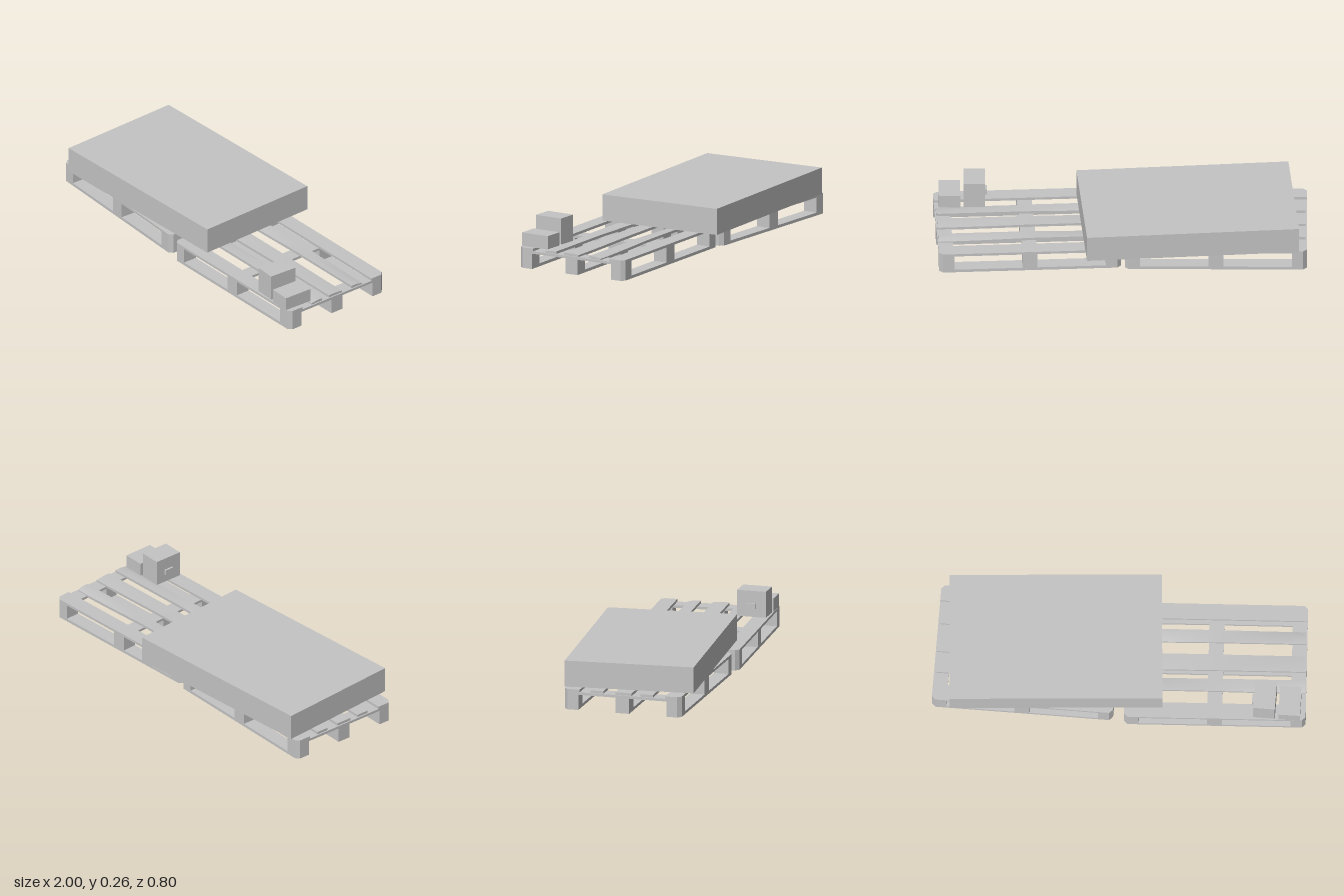
import * as THREE from 'three';

const HALF_L = 0.485, HALF_W = 0.325, CUT = 0.02;

export function createModel() {
  const grey = new THREE.MeshStandardMaterial({ color: 0xc4c4c4 });
  grey.name = 'plain grey';
  const model = new THREE.Group();
  model.name = 'palletsWithLoad';

  const add = (parent, name, geometry, x = 0, y = 0, z = 0) => {
    const mesh = new THREE.Mesh(geometry, grey);
    mesh.name = name;
    mesh.position.set(x, y, z);
    parent.add(mesh);
    return mesh;
  };

  // Upright slab from y0 to y1 whose corners are cut off where they meet a pallet corner
  const slab = (x0, x1, z0, z1, y0, y1) => {
    const points = [];
    const corners = [[x0, z0], [x1, z0], [x1, z1], [x0, z1]];
    corners.forEach(([x, z], i) => {
      const outer = Math.abs(x) > HALF_L - 0.001 && Math.abs(z) > HALF_W - 0.001;
      if (!outer) return points.push(new THREE.Vector2(x, -z));
      const alongX = new THREE.Vector2(x - Math.sign(x) * CUT, -z);
      const alongZ = new THREE.Vector2(x, -(z - Math.sign(z) * CUT));
      points.push(...(i % 2 ? [alongX, alongZ] : [alongZ, alongX]));
    });
    const g = new THREE.ExtrudeGeometry(new THREE.Shape(points), { depth: y1 - y0, bevelEnabled: false });
    return g.rotateX(-Math.PI / 2).translate(0, y0, 0);
  };

  // Thin deck board, twisted a little along its length
  const twistedBoard = (length, width, twist) => {
    const g = new THREE.BoxGeometry(length, 0.014, width, 12, 1, 2);
    const p = g.attributes.position;
    for (let i = 0; i < p.count; i++) {
      const t = p.getX(i) / length;
      const drop = twist * Math.sin(t * Math.PI) * p.getZ(i) / width;
      p.setY(i, p.getY(i) + drop - Math.abs(drop));
    }
    g.computeVertexNormals();
    return g;
  };

  const makePallet = (name, twists) => {
    const pallet = new THREE.Group();
    pallet.name = name;
    const blockX = [[-HALF_L, -0.405], [-0.04, 0.04], [0.405, HALF_L]];
    const rows = [[-HALF_W, -0.245], [-0.038, 0.038], [0.245, HALF_W]];

    // Bottom runners and the nine blocks
    rows.forEach(([z0, z1]) => {
      add(pallet, 'bottomRunner', slab(-HALF_L, HALF_L, z0, z1, 0, 0.016));
      blockX.forEach(([x0, x1]) => add(pallet, 'block', slab(x0, x1, z0, z1, 0.016, 0.084)));
    });

    // Cross boards resting on the blocks
    blockX.forEach(([x0, x1]) =>
      add(pallet, 'crossBoard', slab(x0, x1, -HALF_W, HALF_W, 0.084, 0.098)));

    // Deck: two outer boards with cut corners, three inner boards
    add(pallet, 'outerDeckBoard', slab(-HALF_L, HALF_L, -HALF_W, -0.238, 0.098, 0.112));
    add(pallet, 'outerDeckBoard', slab(-HALF_L, HALF_L, 0.238, HALF_W, 0.098, 0.112));
    [[-0.143, 0.07], [0.005, 0.09], [0.133, 0.07]].forEach(([z, width], i) =>
      add(pallet, 'innerDeckBoard', twistedBoard(0.955, width, twists[i]), 0, 0.105, z));

    model.add(pallet);
    return pallet;
  };

  makePallet('rightPallet', [0, 0, 0]).position.set(-0.515, 0, 0.028);
  const turned = makePallet('leftPallet', [0.008, 0.004, -0.006]);
  turned.position.set(0.494, 0, 0.015);
  turned.rotation.y = 0.06;

  // Large flat load lying askew on the decks
  const load = add(model, 'largeFlatBox', new THREE.BoxGeometry(1.134, 0.143, 0.703), -0.364, 0.1845, -0.003);
  load.rotation.y = 0.085;

  // Two small boxes at the far end
  const tall = new THREE.Group();
  tall.name = 'tallBox';
  tall.position.set(0.775, 0.113, 0.234);
  add(tall, 'tallBoxBody', new THREE.BoxGeometry(0.116, 0.143, 0.16), 0, 0.0715, 0);
  add(tall, 'sideCatch', new THREE.BoxGeometry(0.012, 0.03, 0.05), -0.063, 0.06, 0);
  model.add(tall);
  const low = add(model, 'lowBox', new THREE.BoxGeometry(0.115, 0.073, 0.165), 0.908, 0.1485, 0.232);
  low.rotation.y = 0.02;

  return model;
}
